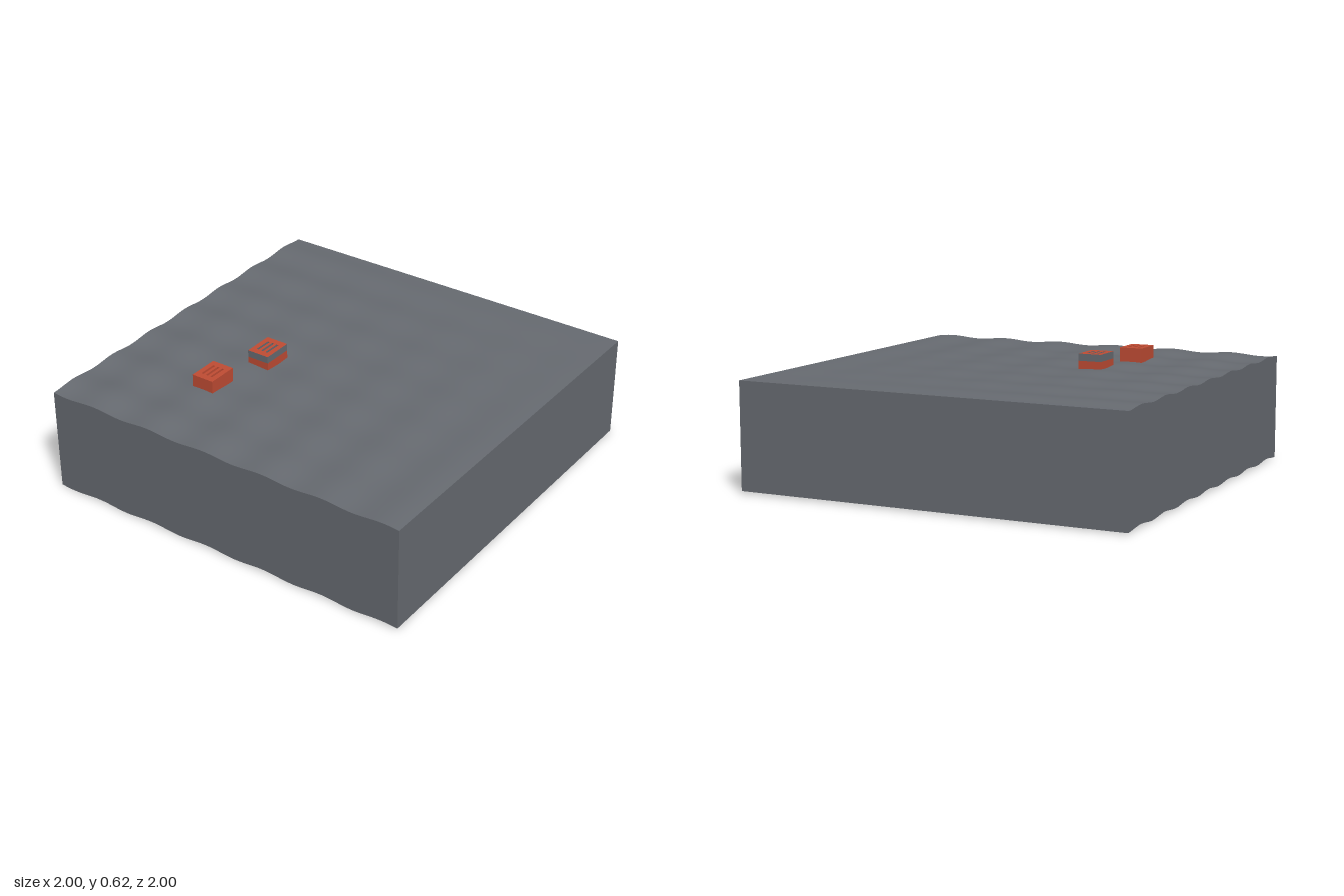
import * as THREE from 'three';

const ground = new THREE.MeshStandardMaterial({ color: 0x676b71, side: THREE.DoubleSide });
ground.name = 'slate grey';
const clay = new THREE.MeshStandardMaterial({ color: 0xc04c34 });
clay.name = 'brick red';

const SEG = 72, HEIGHT = 0.535;

// Gentle ripples, strongest along the front and right edges
function ripple(x, z) {
  const alongX = Math.cos(6 * Math.PI * (x - 0.25)) * (1 + z) / 2;
  const alongZ = Math.cos(7 * Math.PI * z) * (1 - x) / 2;
  return 0.007 + 0.0055 * (alongX + alongZ);
}

function addMesh(parent, name, geometry, material) {
  const mesh = new THREE.Mesh(geometry, material);
  mesh.name = name;
  parent.add(mesh);
  return mesh;
}

// Lift every vertex by the ripple at its place
function rippled(geometry) {
  const p = geometry.attributes.position;
  for (let i = 0; i < p.count; i++) p.setY(i, p.getY(i) + ripple(p.getX(i), p.getZ(i)));
  geometry.computeVertexNormals();
  return geometry;
}

// Brick with three slots through its top
function brick(name, x, z, top, capped) {
  const w = 0.12, d = 0.16, bottom = 0.535;
  const group = new THREE.Group();
  group.name = name;
  const outline = () => {
    const s = new THREE.Shape();
    s.moveTo(-w / 2, -d / 2).lineTo(w / 2, -d / 2).lineTo(w / 2, d / 2).lineTo(-w / 2, d / 2).closePath();
    for (const cx of [-0.027, 0, 0.027]) {
      const hole = new THREE.Path();
      hole.moveTo(cx - 0.006, -0.045).lineTo(cx - 0.006, 0.045).lineTo(cx + 0.006, 0.045).lineTo(cx + 0.006, -0.045).closePath();
      s.holes.push(hole);
    }
    return s;
  };
  const layer = (part, y0, y1, materials) => {
    const g = new THREE.ExtrudeGeometry(outline(), { depth: y1 - y0, bevelEnabled: false });
    g.rotateX(-Math.PI / 2).translate(0, y0, 0);
    addMesh(group, part, g, materials);
  };
  if (capped) {
    layer('brickBase', bottom, 0.58, clay);
    layer('brickCap', 0.58, top, [clay, ground]); // red face, grey sides
  } else {
    layer('brickBody', bottom, top, clay);
  }
  group.position.set(x, 0, z);
  return group;
}

export function createModel() {
  const model = new THREE.Group();
  model.name = 'groundWithBricks';

  // Rippled surface
  const surface = new THREE.PlaneGeometry(2, 2, SEG, SEG);
  surface.rotateX(-Math.PI / 2).translate(0, HEIGHT, 0);
  addMesh(model, 'groundSurface', rippled(surface), ground);

  // Four thin walls, open underneath
  ['frontWall', 'leftWall', 'backWall', 'rightWall'].forEach((name, i) => {
    const wall = new THREE.PlaneGeometry(2, HEIGHT, SEG, 1);
    wall.translate(0, HEIGHT / 2, 1).rotateY(i * Math.PI / 2);
    addMesh(model, name, rippled(wall), ground);
  });

  // Two loose bricks
  model.add(brick('rearBrick', -0.335, 0.165, 0.616, true));
  model.add(brick('frontBrick', -0.415, 0.5, 0.613, false));
  return model;
}
